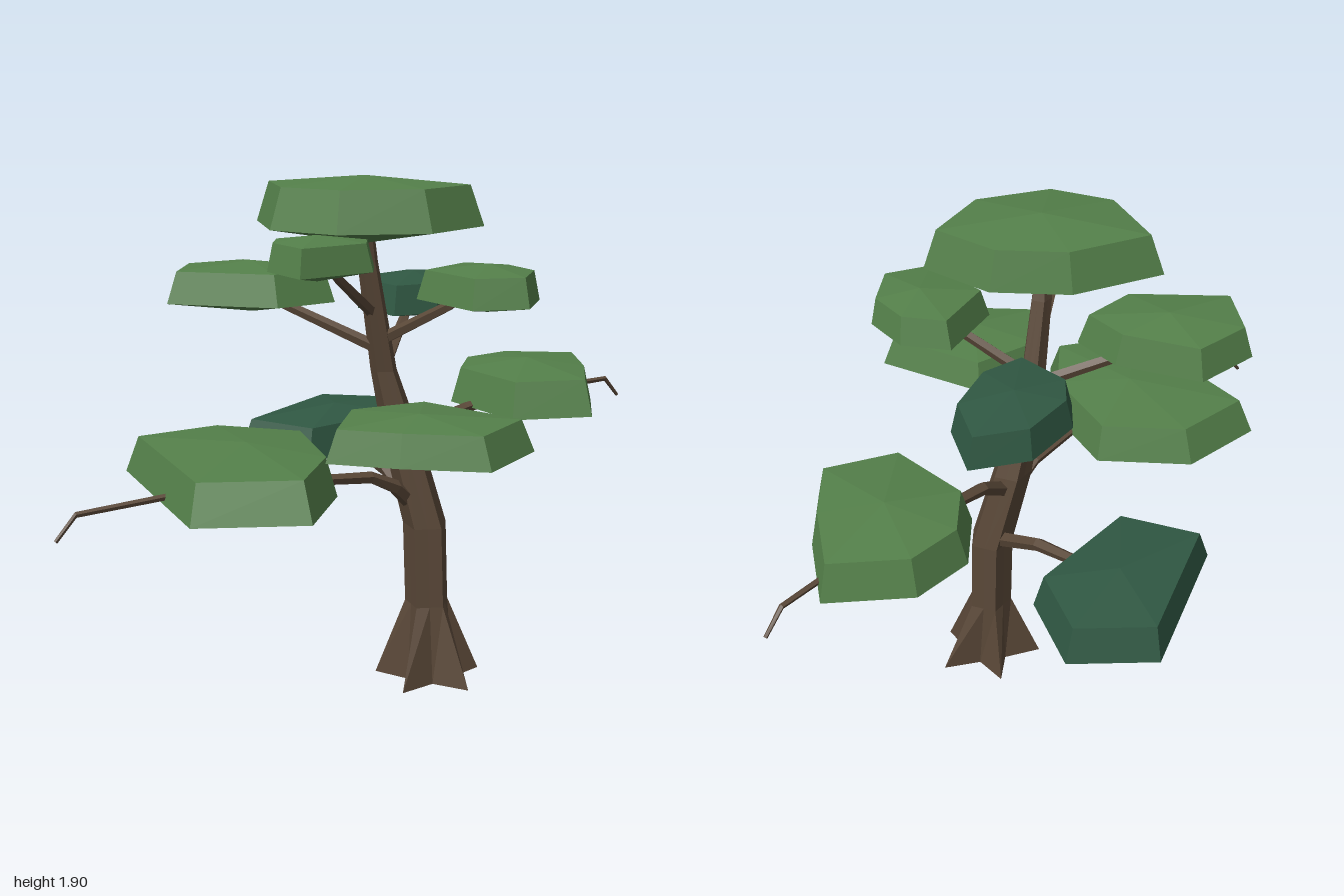
import * as THREE from 'three';

const V = (x, y, z) => new THREE.Vector3(x, y, z);

// Flat-shaded skin over rings that run counter-clockwise about the direction of growth
function loft(rings, start, end) {
  const pos = [];
  const tri = (...pts) => pts.forEach((p) => pos.push(p.x, p.y, p.z));
  const n = rings[0].length;
  const last = rings[rings.length - 1];
  for (let i = 0; i < n; i++) {
    const j = (i + 1) % n;
    tri(start, rings[0][j], rings[0][i]);
    for (let k = 0; k < rings.length - 1; k++) {
      const a = rings[k], b = rings[k + 1];
      tri(a[i], a[j], b[j]);
      tri(a[i], b[j], b[i]);
    }
    tri(end, last[i], last[j]);
  }
  const g = new THREE.BufferGeometry();
  g.setAttribute('position', new THREE.Float32BufferAttribute(pos, 3));
  g.computeVertexNormals();
  return g;
}

// Foliage pad from its corners in x and z: shallow underside, wide rim, inset upper rim, low crown
function padGeometry(base, top, ...corners) {
  const cx = corners.reduce((s, p) => s + p[0], 0) / corners.length;
  const cz = corners.reduce((s, p) => s + p[1], 0) / corners.length;
  const angle = (p) => Math.atan2(p[1] - cz, p[0] - cx);
  corners.sort((a, b) => angle(b) - angle(a));
  const ring = (t, s) => corners.map(([x, z]) =>
    V(cx + (x - cx) * s, base + (top - base) * t, cz + (z - cz) * s));
  return loft([ring(0.25, 1), ring(0.86, 0.88)], V(cx, base, cz), V(cx, top, cz));
}

// Five-sided limb that thins to about half along a bent path
function limbGeometry(radius, ...pts) {
  const rings = pts.map((p, i) => {
    const dir = pts[Math.min(i + 1, pts.length - 1)].clone().sub(pts[Math.max(i - 1, 0)]).normalize();
    const u = V(0, 1, 0).addScaledVector(dir, -dir.y).normalize();
    const v = dir.clone().cross(u);
    const r = radius * (1 - 0.45 * i / (pts.length - 1));
    return Array.from({ length: 5 }, (_, k) => {
      const a = k / 5 * Math.PI * 2;
      return p.clone().addScaledVector(u, r * Math.cos(a)).addScaledVector(v, r * Math.sin(a));
    });
  });
  return loft(rings, pts[0], pts[pts.length - 1]);
}

// Leaning trunk: ten-sided rings with five ridges that flare into roots at the foot
function trunkGeometry() {
  const ring = (x, y, z, ridge, valley) => Array.from({ length: 10 }, (_, i) => {
    const a = -0.45 - i * Math.PI / 5;
    const r = i % 2 ? valley : ridge;
    return V(x + r * Math.cos(a), y, z + r * Math.sin(a));
  });
  const foot = ring(0.2, 0, 0.045, 0.21, 0.09);
  foot.forEach((p) => { p.z = 0.045 + (p.z - 0.045) * 0.85; });
  const rings = [foot];
  const addRing = (x, y, z, r) => rings.push(ring(x, y, z, r, r * 0.8));
  addRing(0.19, 0.3, 0.03, 0.085);
  addRing(0.18, 0.61, 0.03, 0.085);
  addRing(0.095, 0.93, 0.025, 0.075);
  addRing(0.025, 1.2, 0.045, 0.05);
  addRing(-0.03, 1.6, 0.115, 0.038);
  addRing(-0.04, 1.74, 0.15, 0.032);
  return loft(rings, V(0.2, 0, 0.045), V(-0.04, 1.74, 0.15));
}

export function createModel() {
  const material = (name, color) => {
    const m = new THREE.MeshStandardMaterial({ color, flatShading: true });
    m.name = name;
    return m;
  };
  const bark = material('bark', 0x5a4838);
  const leaf = material('leafGreen', 0x54804a);
  const dark = material('darkLeafGreen', 0x305843);

  const tree = new THREE.Group();
  tree.name = 'tree';
  const add = (name, mat, geometry) => {
    const mesh = new THREE.Mesh(geometry, mat);
    mesh.name = name;
    tree.add(mesh);
  };
  const pad = (name, mat, ...shape) => add(name, mat, padGeometry(...shape));
  const limb = (name, ...shape) => add(name, bark, limbGeometry(...shape));

  add('trunk', bark, trunkGeometry());

  // Foliage: bottom and top heights, then corners
  pad('crownPad', leaf, 1.67, 1.9,
    [-0.43, -0.02], [-0.1, -0.11], [0.17, -0.05], [0.37, 0.15], [0.19, 0.39], [-0.12, 0.44], [-0.35, 0.3]);
  pad('lowFrontPad', leaf, 0.81, 1.03,
    [-0.89, 0.22], [-0.56, 0.84], [-0.18, 0.8], [-0.12, 0.5], [-0.25, 0.12], [-0.6, 0.04]);
  pad('upperRightPad', leaf, 1.4, 1.585,
    [-0.74, 0.11], [-0.73, -0.14], [-0.52, -0.27], [-0.25, -0.12], [-0.15, 0.05], [-0.34, 0.19]);
  pad('upperLeftPad', leaf, 1.445, 1.61,
    [0.56, 0.22], [0.47, 0.06], [0.3, 0], [0.14, 0.22], [0.32, 0.46], [0.51, 0.42]);
  pad('upperBackPad', dark, 1.335, 1.51,
    [-0.08, -0.23], [-0.06, -0.37], [0.1, -0.53], [0.31, -0.55], [0.34, -0.33], [0.22, -0.13], [0.06, -0.05]);
  pad('smallFrontPad', leaf, 1.58, 1.73,
    [-0.34, 0.36], [-0.34, 0.5], [-0.22, 0.67], [0, 0.5], [0, 0.38], [-0.2, 0.28]);
  pad('middleFrontPad', leaf, 1.02, 1.195,
    [-0.14, 0.79], [-0.1, 0.5], [0.17, 0.37], [0.52, 0.63], [0.37, 0.87], [0.09, 0.84]);
  pad('middleLeftPad', leaf, 0.94, 1.16,
    [0.28, -0.32], [0.32, -0.55], [0.5, -0.69], [0.81, -0.67], [0.83, -0.37], [0.8, -0.09], [0.5, -0.03]);
  pad('lowBackPad', dark, 0.72, 0.925,
    [-0.56, -0.38], [-0.27, -0.88], [0.04, -0.84], [0.1, -0.54], [-0.27, -0.22]);

  // Branches: thickness, then path from the trunk into the foliage
  limb('lowFrontBranch', 0.032, V(0.14, 0.68, 0.03), V(0.07, 0.78, 0.12), V(-0.02, 0.84, 0.2), V(-0.25, 0.88, 0.38));
  limb('middleLeftBranch', 0.03, V(0.11, 0.85, 0.02), V(0.22, 0.97, -0.12), V(0.33, 0.995, -0.22), V(0.5, 1.02, -0.33));
  limb('lowBackBranch', 0.03, V(0.17, 0.62, 0.02), V(0.03, 0.75, -0.2), V(-0.08, 0.785, -0.35), V(-0.18, 0.81, -0.5));
  limb('middleFrontBranch', 0.032, V(0.1, 0.86, 0.03), V(0.13, 1.02, 0.26), V(0.19, 1.1, 0.58));
  limb('upperRightBranch', 0.024, V(0.01, 1.28, 0.06), V(-0.33, 1.425, -0.01), V(-0.44, 1.48, -0.03));
  limb('upperLeftBranch', 0.024, V(0.01, 1.31, 0.06), V(0.25, 1.455, 0.18), V(0.35, 1.53, 0.23));
  limb('upperBackBranch', 0.024, V(0.02, 1.19, 0.04), V(0.1, 1.36, -0.2), V(0.13, 1.43, -0.3));
  limb('smallFrontBranch', 0.022, V(-0.01, 1.41, 0.08), V(-0.12, 1.57, 0.33), V(-0.17, 1.66, 0.46));

  // Bare twigs poking out of the foliage
  limb('lowFrontTwig', 0.013, V(-0.45, 0.9, 0.46), V(-0.94, 0.875, 0.745), V(-1, 0.795, 0.78));
  limb('middleLeftTwig', 0.013, V(0.62, 1.02, -0.42), V(0.93, 1.01, -0.68), V(0.99, 0.93, -0.73));

  return tree;
}
